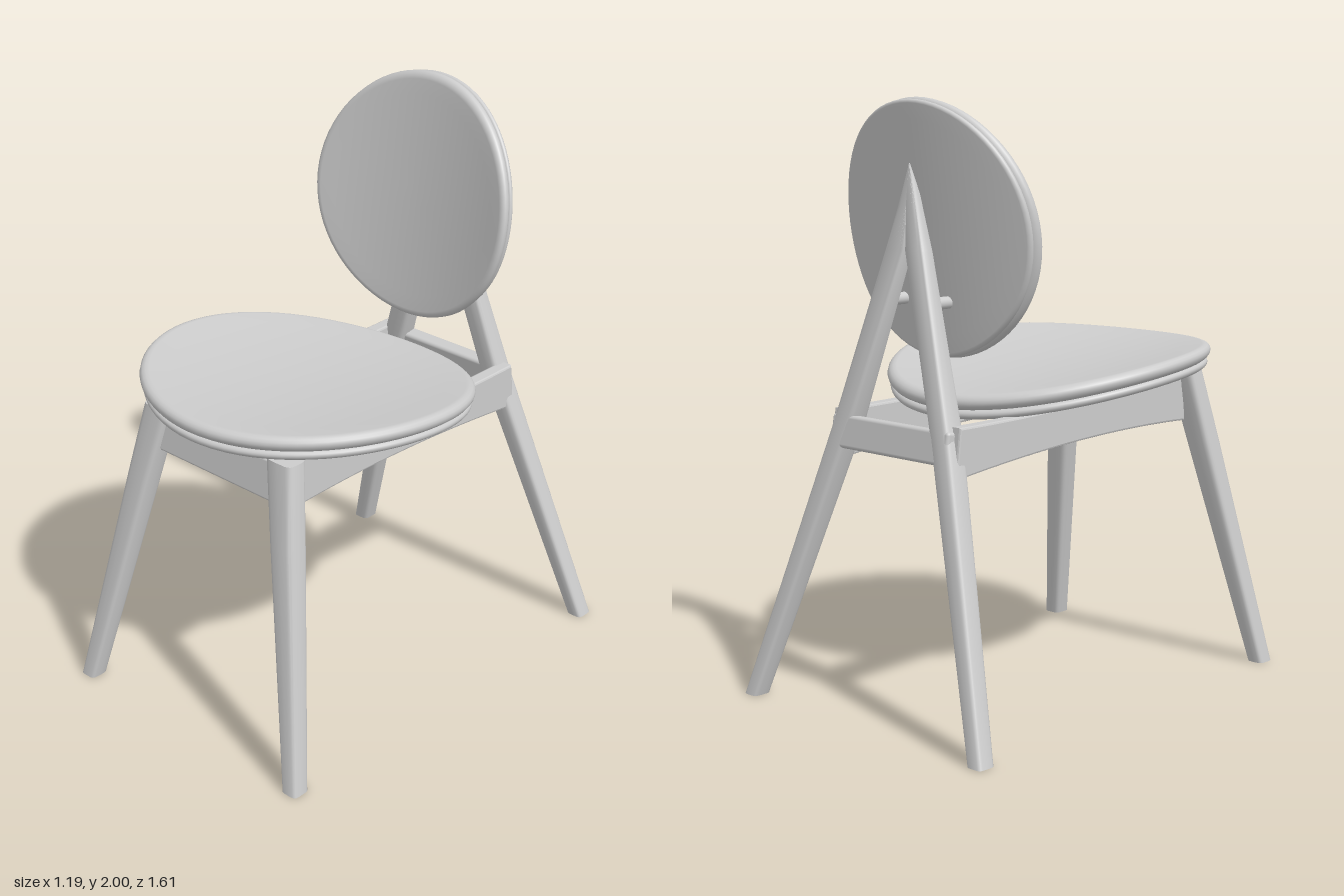
import * as THREE from 'three';
import { mergeVertices, toCreasedNormals } from 'three/addons/utils/BufferGeometryUtils.js';
import { RoundedBoxGeometry } from 'three/addons/geometries/RoundedBoxGeometry.js';

const SIDES = 20;

// Tapered post lofted through rounded-rectangle rings [y, x, z, halfWidth, halfDepth].
// With mitre on, the post is cut off at the centre plane.
function post(rings, side, mitre) {
  const pos = [], index = [];
  const soft = (v) => Math.sign(v) * Math.pow(Math.abs(v), 0.45);
  rings.forEach(([y, x, z, w, d]) => {
    for (let j = 0; j < SIDES; j++) {
      const a = (j / SIDES) * Math.PI * 2;
      let px = side * x + w * soft(Math.cos(a));
      if (mitre && px * side < 0) px = 0;
      pos.push(px, y, z + d * soft(Math.sin(a)));
    }
  });
  const last = (rings.length - 1) * SIDES;
  for (let i = 0; i < last; i += SIDES) {
    for (let j = 0; j < SIDES; j++) {
      const a = i + j, b = i + ((j + 1) % SIDES);
      index.push(a, a + SIDES, b, b, a + SIDES, b + SIDES);
    }
  }
  for (let j = 1; j < SIDES - 1; j++) {
    index.push(0, j, j + 1, last, last + j + 1, last + j);
  }
  const g = new THREE.BufferGeometry();
  g.setAttribute('position', new THREE.Float32BufferAttribute(pos, 3));
  g.setIndex(index);
  return toCreasedNormals(g, 0.7);
}

// Round slab with softened rim, sloped along z and bent up at both sides
function bentDisc(radius, low, high, round, slope, bend) {
  const pts = [];
  const inner = radius - round;
  const half = Math.min(round, (high - low) / 2);
  for (let i = 0; i <= 8; i++) pts.push(new THREE.Vector2((inner * i) / 8, low));
  for (let i = 1; i < 8; i++) {
    const a = -Math.PI / 2 + (i / 8) * Math.PI;
    const y = a < 0 ? low + half + half * Math.sin(a) : high - half + half * Math.sin(a);
    pts.push(new THREE.Vector2(inner + round * Math.cos(a), y));
  }
  for (let i = 8; i >= 0; i--) pts.push(new THREE.Vector2((inner * i) / 8, high));
  let g = new THREE.LatheGeometry(pts, 72);
  const p = g.attributes.position;
  for (let i = 0; i < p.count; i++) {
    const x = p.getX(i), z = p.getZ(i);
    p.setY(i, p.getY(i) + slope * z + bend * (x / radius) ** 2);
  }
  g.deleteAttribute('uv');
  g.deleteAttribute('normal');
  g = mergeVertices(g, 1e-5);
  g.computeVertexNormals();
  return g;
}

export function createModel() {
  const grey = new THREE.MeshStandardMaterial({ color: 0xcccccc });
  grey.name = 'light grey';

  const model = new THREE.Group();
  model.name = 'chair';
  const chair = new THREE.Group();
  chair.name = 'chairBody';
  chair.rotation.y = 0.075;
  chair.position.x = 0.02;
  model.add(chair);

  const add = (name, geometry, x = 0, y = 0, z = 0) => {
    const mesh = new THREE.Mesh(geometry, grey);
    mesh.name = name;
    mesh.position.set(x, y, z);
    chair.add(mesh);
    return mesh;
  };

  // Seat: thin shell with a pad on top
  add('seatShell', bentDisc(0.545, -0.04, -0.008, 0.02, 0.1, 0.055), 0, 1.06, 0.143);
  add('seatPad', bentDisc(0.555, -0.01, 0.043, 0.032, 0.1, 0.055), 0, 1.06, 0.143);

  // Backrest: the same construction, stood upright
  const backShell = bentDisc(0.412, -0.032, -0.01, 0.012, 0.145, 0.06).rotateX(Math.PI / 2);
  const backPad = bentDisc(0.418, -0.012, 0.03, 0.024, 0.145, 0.06).rotateX(Math.PI / 2);
  add('backrestShell', backShell, -0.02, 1.583, -0.445);
  add('backrestPad', backPad, -0.02, 1.583, -0.445);

  // Side rail outline, drawn in depth and height
  const rail = new THREE.Shape();
  rail.moveTo(0.53, 0.875);
  rail.lineTo(0.53, 1.045);
  rail.quadraticCurveTo(0, 0.985, -0.58, 0.99);
  rail.lineTo(-0.6, 0.825);
  rail.quadraticCurveTo(0, 0.9, 0.53, 0.875);

  for (const side of [-1, 1]) {
    const label = side > 0 ? 'left' : 'right';

    // Splayed, tapering front leg
    add(label + 'FrontLeg', post([
      [0, 0.49, 0.73, 0.032, 0.034],
      [0.8, 0.332, 0.587, 0.05, 0.042],
      [1.06, 0.28, 0.54, 0.056, 0.04],
    ], side, false));

    // Back leg rising to a shared mitred peak
    const legX = (y) => 0.53 * (1 - y / 1.66);
    add(label + 'BackLeg', post([
      [0, legX(0), -0.74, 0.031, 0.034],
      [0.95, legX(0.95), -0.575, 0.043, 0.042],
      [1.52, legX(1.52), -0.515, 0.043, 0.028],
      [1.66, legX(1.66), -0.507, 0.043, 0.02],
      [1.795, legX(1.795), -0.5, 0.043, 0.012],
    ], side, true));

    // Side rail
    const railGeometry = new THREE.ExtrudeGeometry(rail, {
      depth: 0.036, bevelEnabled: true, bevelSize: 0.007, bevelThickness: 0.007,
      bevelOffset: -0.007, bevelSegments: 2, curveSegments: 16,
    });
    railGeometry.translate(0, 0, -0.018).rotateY(-Math.PI / 2);
    add(label + 'SideRail', railGeometry, side * 0.268);

    // Dowel joining the back leg to the backrest
    const dowel = new THREE.CylinderGeometry(0.02, 0.02, 0.11, 20).rotateX(Math.PI / 2);
    add(label + 'BackrestDowel', dowel, side * 0.1, 1.355, -0.48);
  }

  // Cross rails
  add('frontRail', new RoundedBoxGeometry(0.52, 0.135, 0.045, 2, 0.008), 0, 0.975, 0.55).rotation.x = -0.15;
  add('backRail', new RoundedBoxGeometry(0.54, 0.11, 0.055, 2, 0.012), 0, 0.92, -0.592).rotation.x = 0.17;
  add('middleRail', new RoundedBoxGeometry(0.52, 0.06, 0.05, 2, 0.008), 0, 0.965, -0.08);

  return model;
}
